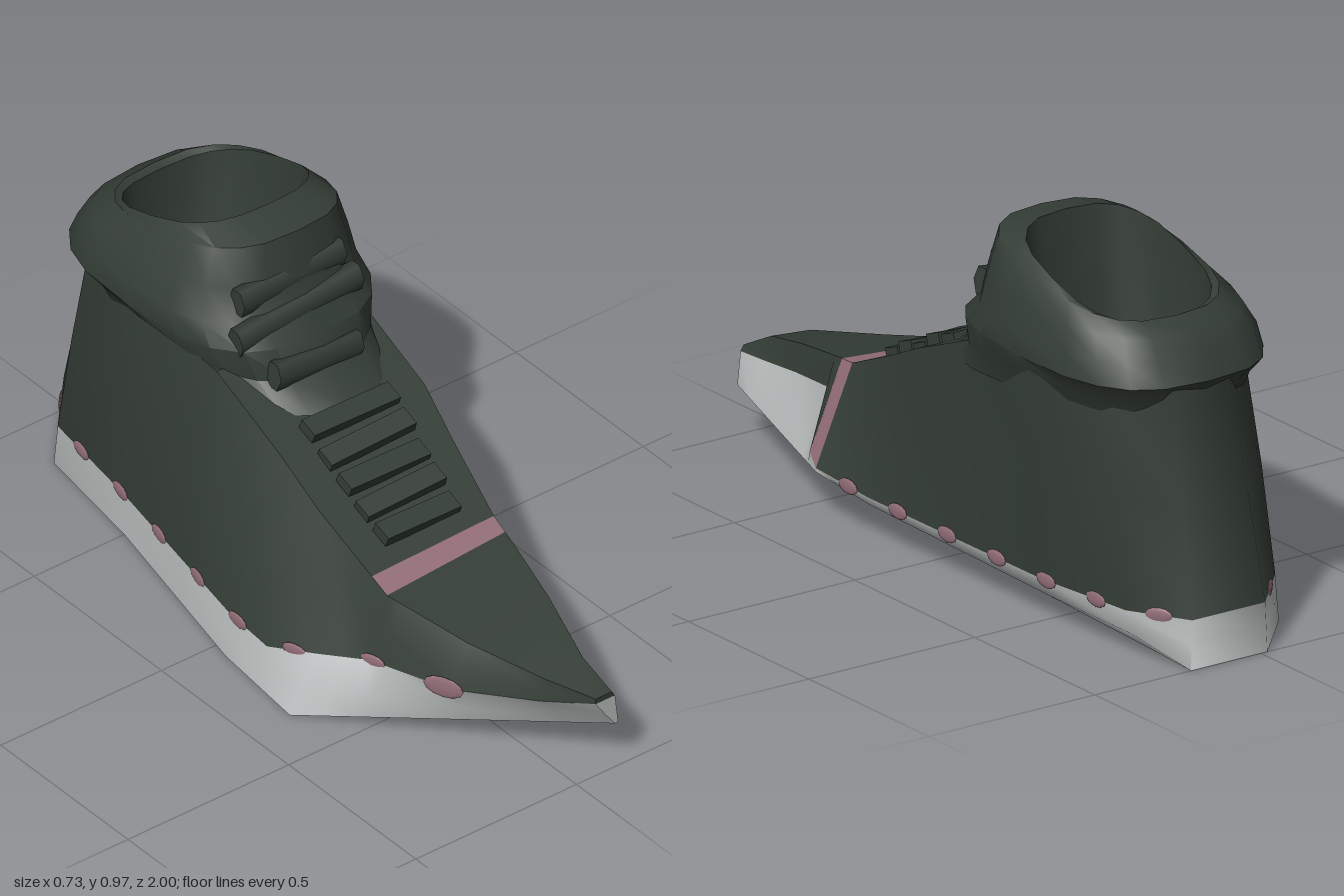
import * as THREE from 'three';
import { toCreasedNormals } from 'three/addons/utils/BufferGeometryUtils.js';

const mat = (name, color) => {
  const m = new THREE.MeshStandardMaterial({ color, side: THREE.DoubleSide });
  m.name = name;
  return m;
};

// Stations along the shoe, heel to toe
const Z = [-1, -0.84, -0.5, -0.2, -0.15, 0.05, 0.2, 0.34, 0.41, 0.47, 0.51, 0.7, 0.9, 1];

// Rails running heel to toe, as sparse [z, x, y] points
const topL = [[-1, 0, 0.68], [-0.84, -0.13, 0.68], [-0.5, -0.18, 0.68], [-0.2, -0.17, 0.64],
  [0.05, -0.17, 0.53], [0.2, -0.17, 0.45], [0.47, -0.17, 0.345], [0.7, -0.1, 0.3], [0.9, -0.02, 0.27], [1, 0.06, 0.23]];
const midL = [[-1, -0.015, 0.4], [-0.84, -0.155, 0.4], [-0.5, -0.205, 0.4], [-0.2, -0.235, 0.4],
  [0.05, -0.26, 0.33], [0.2, -0.255, 0.29], [0.47, -0.2, 0.26], [0.7, -0.135, 0.245], [0.9, -0.03, 0.24], [1, 0.06, 0.22]];
const lineL = [[-1, -0.03, 0.12], [-0.84, -0.17, 0.12], [-0.5, -0.22, 0.12], [0.05, -0.325, 0.12],
  [0.2, -0.33, 0.11], [0.34, -0.29, 0.15], [0.47, -0.225, 0.175], [0.7, -0.155, 0.185], [0.9, -0.035, 0.21], [1, 0.06, 0.215]];
const edgeL = [[-1, -0.025, 0.06], [-0.84, -0.17, 0.06], [-0.5, -0.22, 0.06], [0.05, -0.333, 0.06],
  [0.34, -0.34, 0.06], [0.47, -0.275, 0.09], [0.7, -0.135, 0.125], [1, 0.09, 0.17]];
const baseL = [[-1, -0.02, 0], [-0.84, -0.17, 0], [-0.5, -0.22, 0], [0.05, -0.34, 0],
  [0.34, -0.37, 0], [1, 0.12, 0.13]];
const topR = [[-1, 0.17, 0.68], [-0.84, 0.27, 0.68], [-0.5, 0.34, 0.68], [-0.2, 0.285, 0.64],
  [0.05, 0.28, 0.54], [0.2, 0.25, 0.47], [0.41, 0.21, 0.38], [0.51, 0.19, 0.365], [0.7, 0.15, 0.33], [0.9, 0.1, 0.28], [1, 0.11, 0.23]];
const midR = [[-1, 0.18, 0.4], [-0.84, 0.275, 0.4], [-0.5, 0.32, 0.4], [-0.2, 0.298, 0.4],
  [0.05, 0.297, 0.33], [0.41, 0.265, 0.255], [1, 0.115, 0.22]];
const lineR = [[-1, 0.19, 0.12], [-0.84, 0.28, 0.12], [-0.5, 0.3, 0.11], [0.2, 0.315, 0.115],
  [0.41, 0.32, 0.13], [0.47, 0.295, 0.15], [0.51, 0.215, 0.29], [0.7, 0.17, 0.26], [0.9, 0.12, 0.22], [1, 0.12, 0.215]];
const edgeR = [[-1, 0.2, 0.06], [-0.84, 0.27, 0.06], [-0.5, 0.29, 0.07], [0.2, 0.31, 0.095],
  [0.41, 0.32, 0.12], [1, 0.13, 0.13]];
const baseR = [[-1, 0.21, 0], [-0.84, 0.2, 0], [-0.15, 0.056, 0.015], [0.2, -0.11, 0.02], [1, 0.13, 0.13]];

// Point on a rail; the heel leans forward as it rises
function at(rail, z) {
  let i = 0;
  while (i < rail.length - 2 && rail[i + 1][0] < z) i++;
  const [a, b] = [rail[i], rail[i + 1]];
  const t = (z - a[0]) / (b[0] - a[0]);
  const y = a[2] + (b[2] - a[2]) * t;
  const lean = Math.max(0, -0.5 - z) / 0.5 * y * 0.19;
  return [a[1] + (b[1] - a[1]) * t, y, z + lean];
}

// Surface through equal-length rows of points
function skin(rows, crease = 0.7) {
  const n = rows[0].length, idx = [];
  for (let r = 0; r < rows.length - 1; r++)
    for (let i = 0; i < n - 1; i++) {
      const a = r * n + i, b = a + n;
      idx.push(a, a + 1, b, b, a + 1, b + 1);
    }
  const g = new THREE.BufferGeometry();
  g.setAttribute('position', new THREE.Float32BufferAttribute(rows.flat(2), 3));
  g.setIndex(idx);
  return toCreasedNormals(g, crease);
}

// Points of one rail, a strip along several rails, and a strip wrapped around the heel
const along = (rail, from, to) => Z.filter((z) => z >= from && z <= to).map((z) => at(rail, z));
const loft = (rails, from = -1, to = 1) => skin(rails.map((r) => along(r, from, to)));
const wrap = (pairs, toR) =>
  skin(pairs.map(([l, r]) => [...along(r, -1, toR).reverse(), ...along(l, -1, 1)]), 1.3);

// Collar ring: left, right, back z, front z, back y, front y
function ring([xl, xr, zb, zf, yb, yf], n = 20) {
  const pts = [];
  for (let i = 0; i <= n; i++) {
    const a = i / n * Math.PI * 2, c = Math.cos(a), s = Math.sin(a);
    const round = (v) => Math.sign(v) * Math.abs(v) ** 0.7;
    const k = (1 - round(c)) / 2;
    pts.push([(xl + xr) / 2 + round(s) * (xr - xl) / 2, yf + (yb - yf) * k, zf + (zb - zf) * k]);
  }
  return pts;
}

export function createModel() {
  const dark = mat('dark green fabric', 0x343d36);
  const pale = mat('pale grey rubber', 0xbcbfbf);
  const pink = mat('dusty pink trim', 0x936e78);
  const shoe = new THREE.Group();
  shoe.name = 'shoe';
  const add = (name, geo, m, parent = shoe) => {
    const mesh = new THREE.Mesh(geo, m);
    mesh.name = name;
    parent.add(mesh);
    return mesh;
  };

  // Sole wall around the heel, underside and toe tip
  add('soleWall', wrap([[baseL, baseR], [edgeL, edgeR], [lineL, lineR]], 1), pale);
  add('soleUnderside', loft([baseR, baseL]), pale);
  const tip = (pairs) => skin(pairs.map(([l, r]) => [at(l, 1), at(r, 1)]));
  add('toeTipSole', tip([[baseL, baseR], [edgeL, edgeR], [lineL, lineR]]), pale);
  add('toeTipUpper', tip([[lineL, lineR], [midL, midR], [topL, topR]]), dark);

  // Upper around the heel, then the trim strip and toe on the right
  add('upper', wrap([[lineL, lineR], [midL, midR], [topL, topR]], 0.41), dark);
  add('sideTrim', loft([topR, midR, lineR], 0.41, 0.47), pink);
  add('toeRight', loft([topR, lineR], 0.47, 1), dark);

  // Vamp and toe top, with the trim band between them
  add('vamp', loft([topL, topR], -0.2, 0.41), dark);
  add('topTrim', loft([topL, topR], 0.41, 0.47), pink);
  add('toeTop', loft([topL, topR], 0.47, 1), dark);

  // Padded collar, rolling over the rim down to the insole
  const collar = [
    [-0.165, 0.31, -0.85, 0.02, 0.6, 0.56],
    [-0.18, 0.33, -0.87, -0.07, 0.66, 0.62],
    [-0.22, 0.36, -0.885, -0.09, 0.69, 0.71],
    [-0.21, 0.35, -0.855, -0.15, 0.75, 0.76],
    [-0.18, 0.33, -0.82, -0.17, 0.8, 0.85],
    [-0.135, 0.305, -0.77, -0.2, 0.83, 0.95],
    [-0.11, 0.285, -0.75, -0.31, 0.82, 0.97],
    [-0.1, 0.26, -0.74, -0.34, 0.66, 0.7],
    [-0.05, 0.2, -0.68, -0.37, 0.4, 0.4],
    [0.08, 0.08, -0.5, -0.5, 0.38, 0.38],
  ];
  add('collar', skin(collar.map((c) => ring(c))), dark);

  // Flattened folds across the tongue
  for (const [y, z, w, tilt] of [[0.83, -0.195, 0.32, 0.06], [0.75, -0.165, 0.38, 0.1], [0.64, -0.09, 0.26, -0.05]]) {
    const fold = add('tongueFold', new THREE.CylinderGeometry(0.03, 0.03, w, 6), dark);
    fold.position.set(0.05, y, z);
    fold.rotation.z = Math.PI / 2 + tilt;
    fold.scale.x = 1.4;
  }

  // Laces across the vamp
  for (let i = 0; i < 5; i++) {
    const z = 0.04 + i * 0.075, l = at(topL, z), r = at(topR, z);
    const lace = add('lace', new THREE.BoxGeometry(0.27 - i * 0.01, 0.03, 0.055), dark);
    lace.position.set((l[0] + r[0]) / 2, (l[1] + r[1]) / 2 + 0.012, z);
    lace.rotation.set(0.35, 0, i % 2 ? 0.06 : -0.03);
  }

  // Scalloped trim along the top of the sole, largest at the left of the toe
  const bump = new THREE.SphereGeometry(1, 10, 6);
  const trim = new THREE.Group();
  trim.name = 'scallopTrim';
  shoe.add(trim);
  for (const [rail, last] of [[lineL, 0.75], [lineR, 0.32]])
    for (let z = -0.92; z < last; z += 0.2) {
      const p = at(rail, z), q = at(rail, z + 0.04), size = z > 0.6 ? 1.5 : 1;
      const s = add('scallop', bump, pink, trim);
      s.position.set(...p);
      s.rotation.y = Math.atan2(q[0] - p[0], q[2] - p[2]);
      s.scale.set(0.005, 0.02 * size, 0.038 * size);
    }
  return shoe;
}
